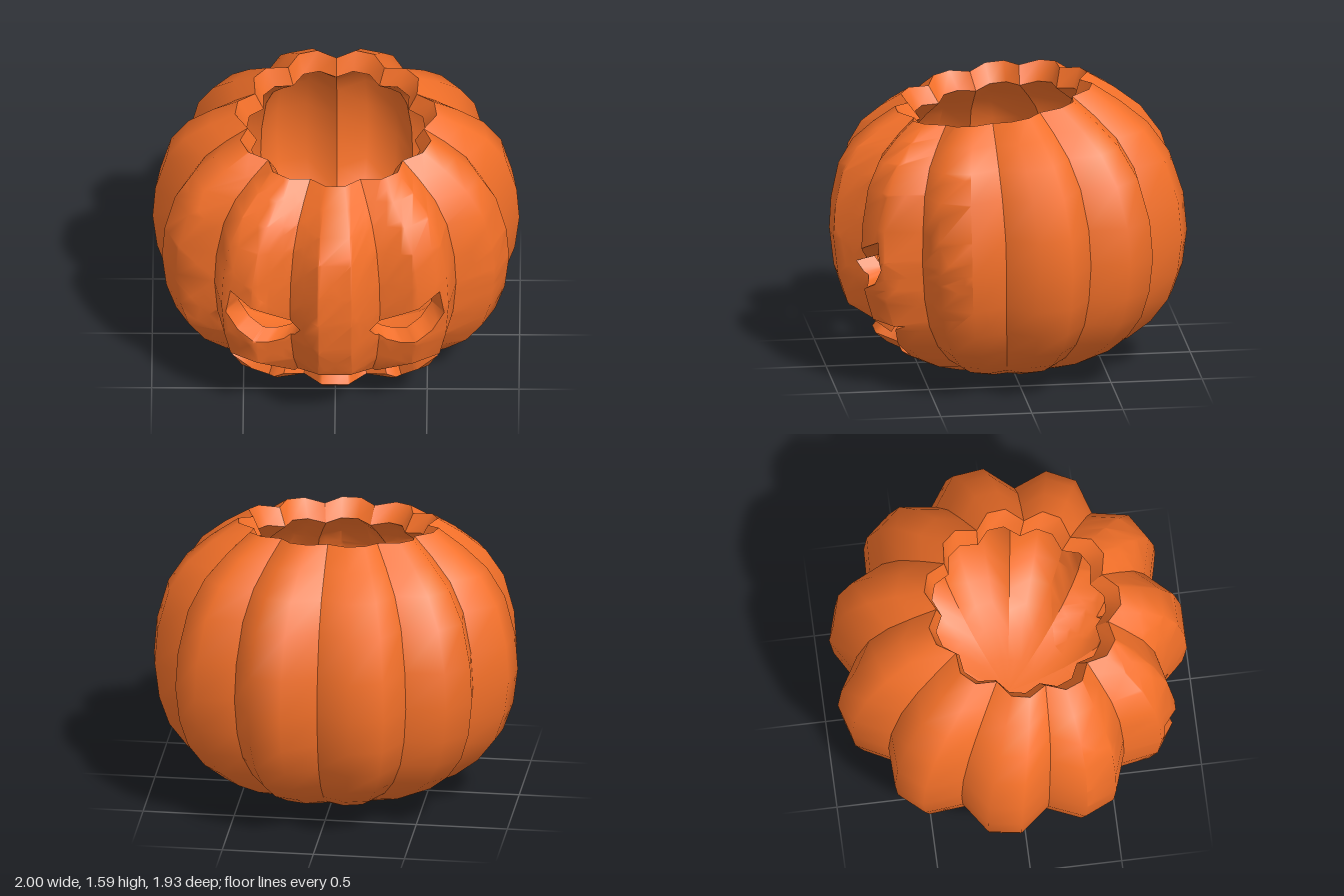
import * as THREE from 'three';
import { toCreasedNormals } from 'three/addons/utils/BufferGeometryUtils.js';

const LOBES = 11, COLS = 3, WALL = 0.12;

// Ridge profile from the bottom centre to the rim of the opening: [radius, height]
const PROFILE = [
  [0, 0.012], [0.2, 0.006], [0.4, 0.036], [0.55, 0.088], [0.69, 0.16], [0.82, 0.265], [0.92, 0.4],
  [0.975, 0.56], [1, 0.76], [0.985, 0.955], [0.925, 1.17], [0.825, 1.32], [0.69, 1.43], [0.55, 1.52],
];

// Profile of the hollow inside, moved inwards along the normal
const INNER = PROFILE.map(([r, y], i) => {
  if (i === 0) return [0, y + WALL];
  const a = PROFILE[i - 1], b = PROFILE[Math.min(i + 1, PROFILE.length - 1)];
  const dr = b[0] - a[0], dy = b[1] - a[1], len = Math.hypot(dr, dy);
  return [r - WALL * dy / len, y + WALL * dr / len];
});

// Place a profile point: ribs, higher back, and an opening shifted forward
function place([r, y], angle, valley) {
  const up = Math.max(0, (y - 0.76) / 0.76), down = Math.max(0, 1 - y / 0.76);
  const s = valley ? 1 - 0.13 * Math.min(1, r / 0.6) : 1;
  const x = r * s * Math.sin(angle);
  const z = r * s * Math.cos(angle) * 0.975;
  const height = y - 0.07 * Math.cos(angle) * up - 0.03 * z * down - (valley ? 0.012 * up : 0);
  return [x, height, z + 0.08 * up * up];
}

// Each vertex holds its outer point followed by the matching inner point
function vertex(i, j) {
  const angle = (j / (LOBES * COLS)) * Math.PI * 2 - Math.PI / LOBES;
  const valley = j % COLS === 0;
  return [...place(PROFILE[i], angle, valley), ...place(INNER[i], angle, valley)];
}

// Carved holes as convex counter-clockwise outlines in the front plane
function carvedHoles() {
  const eye = [[-0.57, 0.87], [-0.595, 0.72], [-0.53, 0.62], [-0.43, 0.565], [-0.36, 0.55], [-0.28, 0.56], [-0.22, 0.6], [-0.19, 0.655]];
  const holes = [eye, eye.map(([x, y]) => [-x, y]).reverse()];
  // Mouth, split into upright strips between its upper and lower edges
  const mirror = (half) => [...half, ...half.map(([x, y]) => [-x, y]).reverse()];
  const upper = mirror([[-0.58, 0.39], [-0.42, 0.39], [-0.22, 0.25], [-0.095, 0.37]]);
  const lower = mirror([[-0.58, 0.39], [-0.36, 0.155], [-0.28, 0.205], [-0.17, 0.15], [-0.085, 0.2]]);
  const heightAt = (line, x) => {
    const k = Math.max(1, line.findIndex((p) => p[0] >= x));
    const [a, b] = [line[k - 1], line[k]];
    return a[1] + (b[1] - a[1]) * (x - a[0]) / (b[0] - a[0]);
  };
  const xs = [...new Set([...upper, ...lower].map((p) => p[0]))].sort((a, b) => a - b);
  for (let k = 0; k + 1 < xs.length; k++) {
    const [a, b] = [xs[k], xs[k + 1]];
    const strip = [[a, heightAt(lower, a)], [b, heightAt(lower, b)], [b, heightAt(upper, b)], [a, heightAt(upper, a)]];
    holes.push(strip.filter((p, n) => Math.hypot(p[0] - strip[(n + 3) % 4][0], p[1] - strip[(n + 3) % 4][1]) > 1e-6));
  }
  return holes;
}

// Positive when p is to the left of the line from a to b
const side = (a, b, p) => (b[0] - a[0]) * (p[1] - a[1]) - (b[1] - a[1]) * (p[0] - a[0]);
const isInside = (hole, p) => hole.every((a, k) => side(a, hole[(k + 1) % hole.length], p) > 0);

// Keep the part of a polygon on one side of a line
function clip(poly, a, b, sign) {
  const out = [];
  poly.forEach((p, k) => {
    const q = poly[(k + 1) % poly.length];
    const dp = side(a, b, p) * sign, dq = side(a, b, q) * sign;
    if (dp >= 0) out.push(p);
    if ((dp > 0 && dq < 0) || (dp < 0 && dq > 0)) {
      const t = dp / (dp - dq);
      out.push(p.map((v, n) => v + (q[n] - v) * t));
    }
  });
  return out.length > 2 ? out : [];
}

function lobeGeometry(lobe, holes) {
  const positions = [];
  const outer = (v) => v.slice(0, 3), inner = (v) => v.slice(3);
  const fan = (pts) => {
    for (let k = 1; k + 1 < pts.length; k++) positions.push(...pts[0], ...pts[k], ...pts[k + 1]);
  };
  const wall = (p, q) => fan([outer(p), outer(q), inner(q), inner(p)]);

  // Skin inside and outside, with the holes cut out and their walls closed
  const addSkin = (triangle) => {
    let pieces = [triangle];
    if (triangle.every((v) => v[2] > 0.3)) {
      for (const hole of holes) {
        const kept = [];
        for (const piece of pieces) {
          let rest = piece;
          hole.forEach((a, k) => {
            const b = hole[(k + 1) % hole.length];
            const cut = clip(rest, a, b, -1);
            if (cut.length) kept.push(cut);
            rest = clip(rest, a, b, 1);
          });
          rest.forEach((p, k) => {
            const q = rest[(k + 1) % rest.length];
            const dx = q[0] - p[0], dy = q[1] - p[1], len = Math.hypot(dx, dy);
            if (len < 1e-5) return;
            const beyond = [(p[0] + q[0]) / 2 + dy / len * 1e-4, (p[1] + q[1]) / 2 - dx / len * 1e-4];
            if (!holes.some((h) => isInside(h, beyond))) wall(p, q);
          });
        }
        pieces = kept;
      }
    }
    for (const piece of pieces) {
      fan(piece.map(outer));
      fan(piece.map(inner).reverse());
    }
  };

  const top = PROFILE.length - 1;
  for (let j = lobe * COLS; j < (lobe + 1) * COLS; j++) {
    for (let i = 0; i < top; i++) {
      const [a, b, c, d] = [vertex(i, j), vertex(i, j + 1), vertex(i + 1, j + 1), vertex(i + 1, j)];
      if (i > 0) addSkin([a, b, c]);
      addSkin([a, c, d]);
    }
    // Cut face around the opening
    wall(vertex(top, j), vertex(top, j + 1));
  }
  const geometry = new THREE.BufferGeometry();
  geometry.setAttribute('position', new THREE.Float32BufferAttribute(positions, 3));
  return toCreasedNormals(geometry, 1.05);
}

export function createModel() {
  const group = new THREE.Group();
  group.name = 'carvedPumpkin';
  const material = new THREE.MeshStandardMaterial({ color: 0xf37029 });
  const holes = carvedHoles();
  for (let lobe = 0; lobe < LOBES; lobe++) {
    const mesh = new THREE.Mesh(lobeGeometry(lobe, holes), material);
    mesh.name = `pumpkinLobe${lobe + 1}`;
    group.add(mesh);
  }
  return group;
}
